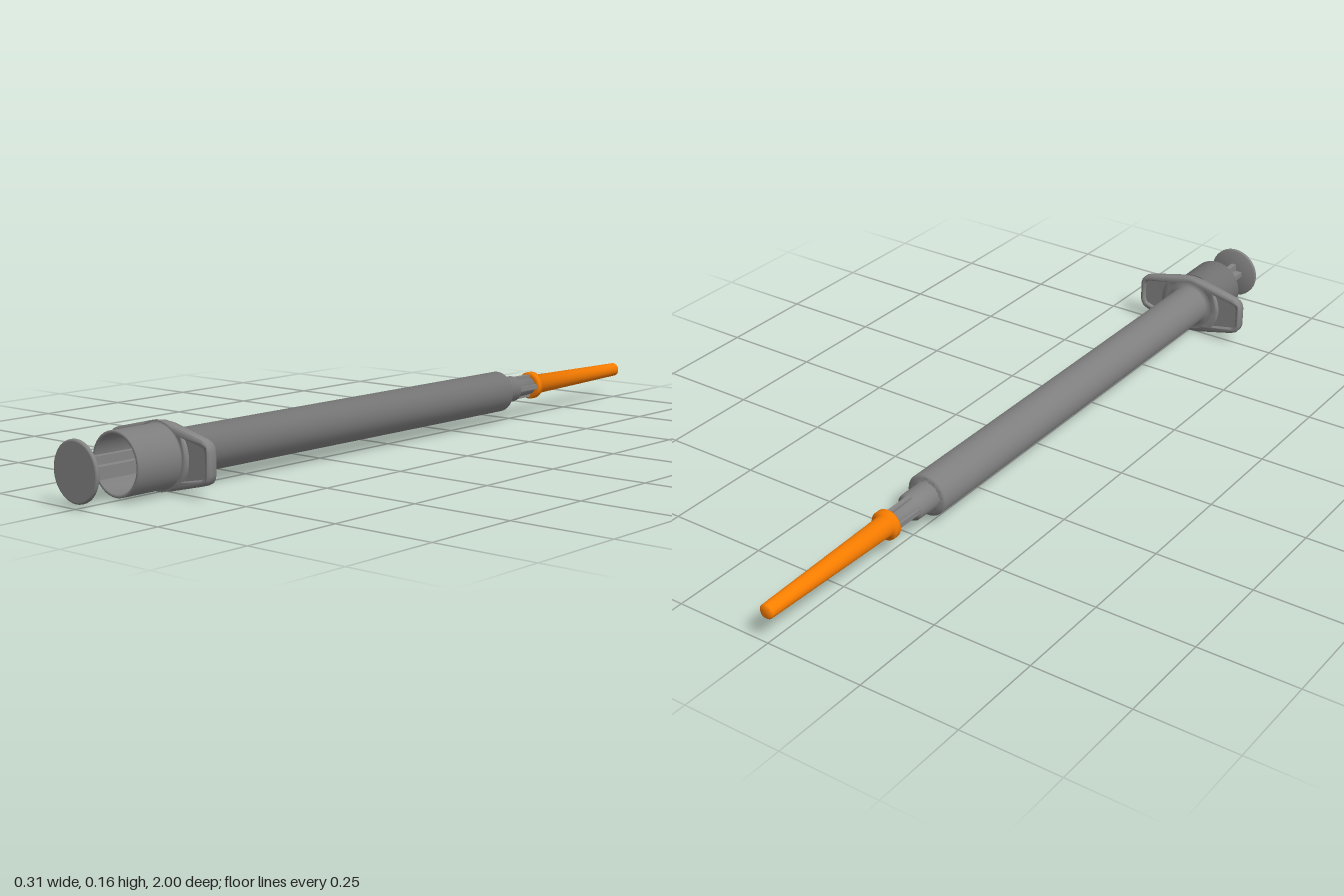
import * as THREE from 'three';
import { toCreasedNormals } from 'three/addons/utils/BufferGeometryUtils.js';

const AXIS_Y = 0.079; // height of the long axis

export function createModel() {
  const model = new THREE.Group();
  const grey = new THREE.MeshStandardMaterial({ color: 0x868686, side: THREE.DoubleSide });
  const orange = new THREE.MeshStandardMaterial({ color: 0xff8000, side: THREE.DoubleSide });

  const add = (name, geometry, material = grey) => {
    const mesh = new THREE.Mesh(geometry, material);
    mesh.name = name;
    mesh.position.y = AXIS_Y;
    model.add(mesh);
  };

  // Round part along z from [radius, z] pairs, listed with z rising on the outside.
  // Shading is smooth over every edge: each ring takes the mean of its two neighbouring slopes.
  const turned = (name, profile, material) => {
    const points = profile.map(([r, z]) => new THREE.Vector2(r, z));
    const slopes = points.slice(1).map((p, i) =>
      new THREE.Vector2(p.y - points[i].y, points[i].x - p.x).normalize());
    const geometry = new THREE.LatheGeometry(points, 40);
    const normals = geometry.attributes.normal;
    for (let k = 0; k < normals.count; k++) {
      const j = k % points.length;
      const before = slopes[Math.max(j - 1, 0)];
      const after = slopes[Math.min(j, slopes.length - 1)];
      const n = before.clone().add(after).normalize();
      const angle = (Math.floor(k / points.length) / 40) * Math.PI * 2;
      normals.setXYZ(k, n.x * Math.sin(angle), n.y, n.x * Math.cos(angle));
    }
    add(name, geometry.rotateX(Math.PI / 2), material);
  };

  // Flat outline extruded between two z values
  const slab = (name, shape, z0, z1, bevel = 0, crease = 0.6) => {
    const geometry = new THREE.ExtrudeGeometry(shape, {
      depth: z1 - z0 - 2 * bevel, bevelEnabled: bevel > 0, bevelSize: bevel,
      bevelThickness: bevel, bevelOffset: -bevel, bevelSegments: 3, curveSegments: 16,
    });
    add(name, toCreasedNormals(geometry.translate(0, 0, z0 + bevel), crease));
  };

  // Barrel, from its end shoulder to the back of the flange
  turned('barrel', [[0.03, -0.445], [0.053, -0.445], [0.053, 0.7405], [0.07, 0.7405]]);

  // Hollow collar standing on the flange
  turned('collar', [
    [0.079, 0.7675], [0.073, 0.7675], [0.073, 0.888], [0.066, 0.888], [0.066, 0.75], [0, 0.75],
  ]);

  // Finger flange: outline of one quarter, mirrored around
  const quarter = [[0.156, 0.025], [0.153, 0.036], [0.147, 0.044], [0.134, 0.05],
    [0.03, 0.075], [0, 0.078]];
  const upper = [...quarter, ...quarter.slice(0, -1).reverse().map(([x, y]) => [-x, y])];
  const outline = [...upper, ...upper.map(([x, y]) => [-x, -y])]
    .map(([x, y]) => new THREE.Vector2(x, y));
  const bore = () => new THREE.Path().absarc(0, 0, 0.053, 0, Math.PI * 2, true);

  const rim = new THREE.Shape(outline);
  rim.holes.push(bore());
  for (const s of [1, -1]) {
    const pocket = [];
    for (let i = 0; i <= 8; i++) {
      const a = -0.57 + (1.14 * i) / 8;
      pocket.push(new THREE.Vector2(s * 0.088 * Math.cos(a), 0.088 * Math.sin(a)));
    }
    for (const [x, y] of [[0.128, 0.037], [0.139, 0.033], [0.144, 0.022],
      [0.144, -0.022], [0.139, -0.033], [0.128, -0.037]]) {
      pocket.push(new THREE.Vector2(s * x, y));
    }
    rim.holes.push(new THREE.Path(pocket));
  }
  slab('flangeRim', rim, 0.741, 0.767, 0.004, 1.2);
  const web = new THREE.Shape(outline.map((p) => p.clone().multiplyScalar(0.96)));
  web.holes.push(bore());
  slab('flangeWeb', web, 0.75, 0.758);

  // Plunger: cross-shaped rod and thumb disc
  const a = 0.026, t = 0.007;
  const cross = new THREE.Shape([
    [a, -t], [a, t], [t, t], [t, a], [-t, a], [-t, t],
    [-a, t], [-a, -t], [-t, -t], [-t, -a], [t, -a], [t, -t],
  ].map(([x, y]) => new THREE.Vector2(x, y)));
  slab('plungerRod', cross, 0.75, 0.992);
  turned('thumbDisc', [
    [0, 0.99], [0.066, 0.99], [0.069, 0.992], [0.069, 0.997], [0.066, 1], [0.064, 1], [0, 1],
  ]);

  // Needle hub with ribs
  turned('hub', [[0, -0.59], [0.023, -0.59], [0.026, -0.51], [0.034, -0.508], [0.035, -0.445], [0.045, -0.445]]);
  for (let i = 0; i < 2; i++) {
    const rib = new THREE.BoxGeometry(0.06, 0.012, 0.08).translate(0, 0, -0.548);
    add('hubRib', rib.rotateZ((i * Math.PI) / 2));
  }

  // Needle cap with its base ring
  turned('needleCap', [
    [0, -1], [0.014, -1], [0.018, -0.996], [0.026, -0.602], [0.036, -0.602],
    [0.036, -0.588], [0.034, -0.585], [0.025, -0.585], [0, -0.585],
  ], orange);

  return model;
}
